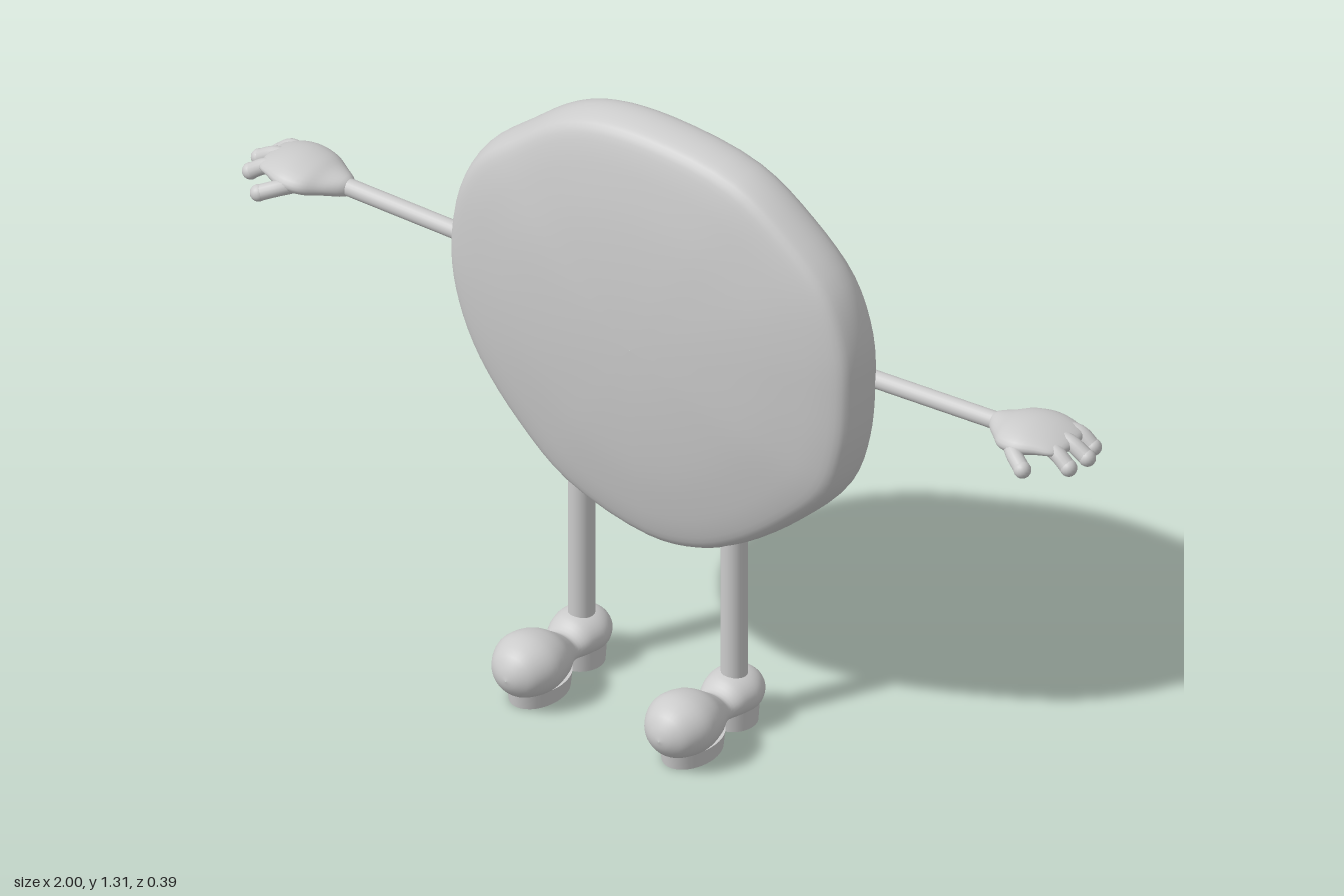
import * as THREE from 'three';

const material = new THREE.MeshStandardMaterial({ color: 0xcccccc });

function mesh(name, geometry, x = 0, y = 0, z = 0) {
  const m = new THREE.Mesh(geometry, material);
  m.name = name;
  m.position.set(x, y, z);
  return m;
}

// Smooth skin over closed rings of points (counter-clockwise seen from the first ring)
function loft(rings) {
  const n = rings[0].length;
  const points = rings.flat();
  const index = [];
  for (let i = 0; i < rings.length - 1; i++) {
    for (let j = 0; j < n; j++) {
      const k = (j + 1) % n;
      const a = i * n + j, b = (i + 1) * n + j, c = (i + 1) * n + k, d = i * n + k;
      index.push(a, b, c, a, c, d);
    }
  }
  const g = new THREE.BufferGeometry().setFromPoints(points);
  g.setIndex(index);
  g.computeVertexNormals();
  return g;
}

// Smoothly resample rows of numbers
function smoothRows(rows, steps) {
  const out = [];
  const at = (i, k) => rows[Math.min(rows.length - 1, Math.max(0, i))][k];
  for (let s = 0; s <= steps; s++) {
    const t = (s / steps) * (rows.length - 1);
    const i = Math.min(Math.floor(t), rows.length - 2), f = t - i;
    out.push(rows[0].map((_, k) => {
      const [p, a, b, q] = [at(i - 1, k), at(i, k), at(i + 1, k), at(i + 2, k)];
      return a + 0.5 * f * (b - p + f * (2 * p - 5 * a + 4 * b - q + f * (3 * (a - b) + q - p)));
    }));
  }
  return out;
}

function ring(n, pointAt) {
  return Array.from({ length: n }, (_, i) => pointAt((i / n) * Math.PI * 2));
}

// Slightly uneven round disc: domed front, flat back
function createBody() {
  const outline = new THREE.CatmullRomCurve3([
    [0.49, 0.86], [0.485, 0.98], [0.44, 1.1], [0.34, 1.2], [0.21, 1.28], [0, 1.31],
    [-0.14, 1.298], [-0.23, 1.262], [-0.33, 1.185], [-0.42, 1.105], [-0.47, 1.01], [-0.49, 0.86],
    [-0.47, 0.74], [-0.42, 0.63], [-0.32, 0.51], [-0.2, 0.415], [0, 0.36],
    [0.12, 0.376], [0.22, 0.425], [0.34, 0.52], [0.44, 0.63], [0.478, 0.74],
  ].map(([x, y]) => new THREE.Vector3(x, y, 0)), true).getPoints(88).slice(0, 88);
  // scale of the outline, depth
  const profile = [
    [0.001, 0.036], [0.2, 0.034], [0.4, 0.028], [0.6, 0.018], [0.77, 0.004], [0.88, -0.008],
    [0.955, -0.022], [0.985, -0.045], [1, -0.08], [0.99, -0.112], [0.95, -0.131],
    [0.87, -0.146], [0.77, -0.152], [0.5, -0.153], [0.001, -0.153],
  ];
  return mesh('body', loft(smoothRows(profile, 42).map(([s, z]) =>
    outline.map((p) => new THREE.Vector3(p.x * s, 0.84 + (p.y - 0.84) * s, z)))));
}

// Arm with palm, three fingers and a thumb, reaching along +x from its shoulder
function createArm(name) {
  const arm = new THREE.Group();
  arm.name = name;
  const rod = new THREE.CylinderGeometry(0.018, 0.018, 0.37, 20).rotateZ(Math.PI / 2);
  arm.add(mesh('armRod', rod, 0.185));

  // x, half height, half width, centre y, centre z
  const sections = [
    [0.525, 0.001, 0.001, 0.004, 0], [0.515, 0.012, 0.05, 0.006, 0], [0.48, 0.022, 0.068, 0.012, 0.005],
    [0.44, 0.029, 0.078, 0.013, 0.012], [0.4, 0.029, 0.071, 0.01, 0.012], [0.37, 0.024, 0.05, 0.005, 0.006],
    [0.335, 0.019, 0.022, 0, 0], [0.325, 0.001, 0.001, 0, 0],
  ];
  arm.add(mesh('palm', loft(smoothRows(sections, 28).map(([x, h, w, y, z]) =>
    ring(28, (a) => new THREE.Vector3(x, y + h * Math.cos(a), z + w * Math.sin(a)))))));

  const digits = [
    ['outerFinger', [0.45, 0.01, -0.03], [0.505, 0.004, -0.045], [0.535, -0.02, -0.047]],
    ['middleFinger', [0.45, 0.012, 0], [0.51, 0.007, -0.003], [0.552, -0.017, -0.004]],
    ['innerFinger', [0.45, 0.01, 0.03], [0.505, 0.003, 0.037], [0.54, -0.02, 0.042]],
    ['thumb', [0.41, 0.008, 0.055], [0.44, 0.002, 0.085], [0.475, -0.012, 0.106]],
  ];
  for (const [digit, ...path] of digits) {
    const curve = new THREE.CatmullRomCurve3(path.map((p) => new THREE.Vector3(...p)));
    arm.add(mesh(digit, new THREE.TubeGeometry(curve, 12, 0.0165, 14)));
    arm.add(mesh(digit + 'Tip', new THREE.SphereGeometry(0.0175, 16, 12), ...path[2]));
  }
  return arm;
}

// Leg with a bulbous shoe
function createLeg(name) {
  const leg = new THREE.Group();
  leg.name = name;
  leg.add(mesh('legRod', new THREE.CylinderGeometry(0.027, 0.027, 0.35, 24), 0, 0.255, -0.06));

  // z, half height, half width, centre y
  const sections = [
    [0.193, 0.001, 0.001, 0.08], [0.186, 0.025, 0.027, 0.081], [0.165, 0.05, 0.055, 0.082],
    [0.12, 0.063, 0.075, 0.083], [0.07, 0.056, 0.068, 0.08], [0.03, 0.038, 0.049, 0.071],
    [0.005, 0.029, 0.043, 0.064], [-0.025, 0.041, 0.053, 0.07], [-0.065, 0.045, 0.06, 0.07],
    [-0.1, 0.038, 0.046, 0.07], [-0.118, 0.02, 0.024, 0.07], [-0.123, 0.001, 0.001, 0.07],
  ];
  leg.add(mesh('shoe', loft(smoothRows(sections, 44).map(([z, h, w, y]) =>
    ring(36, (a) => new THREE.Vector3(w * Math.cos(a), y + h * Math.sin(a), z))))));

  const sole = new THREE.CylinderGeometry(1, 0.94, 0.035, 36);
  const toe = mesh('toeSole', sole, 0, 0.0175, 0.08);
  toe.scale.set(0.055, 1, 0.08);
  const heel = mesh('heelSole', sole.clone().scale(1, 1.3, 1), 0, 0.0228, -0.06);
  heel.scale.set(0.049, 1, 0.052);
  leg.add(toe, heel);
  return leg;
}

export function createModel() {
  const model = new THREE.Group();
  model.name = 'discFigure';
  model.add(createBody());

  for (const [side, s] of [['left', 1], ['right', -1]]) {
    const leg = createLeg(side + 'Leg');
    leg.position.x = s * 0.184;
    model.add(leg);

    const arm = createArm(side + 'Arm');
    arm.scale.x = s;
    arm.position.set(s * 0.43, s > 0 ? 0.866 : 0.86, s > 0 ? -0.127 : -0.088);
    arm.rotation.z = s > 0 ? 0.05 : -0.008;
    model.add(arm);
  }
  return model;
}
